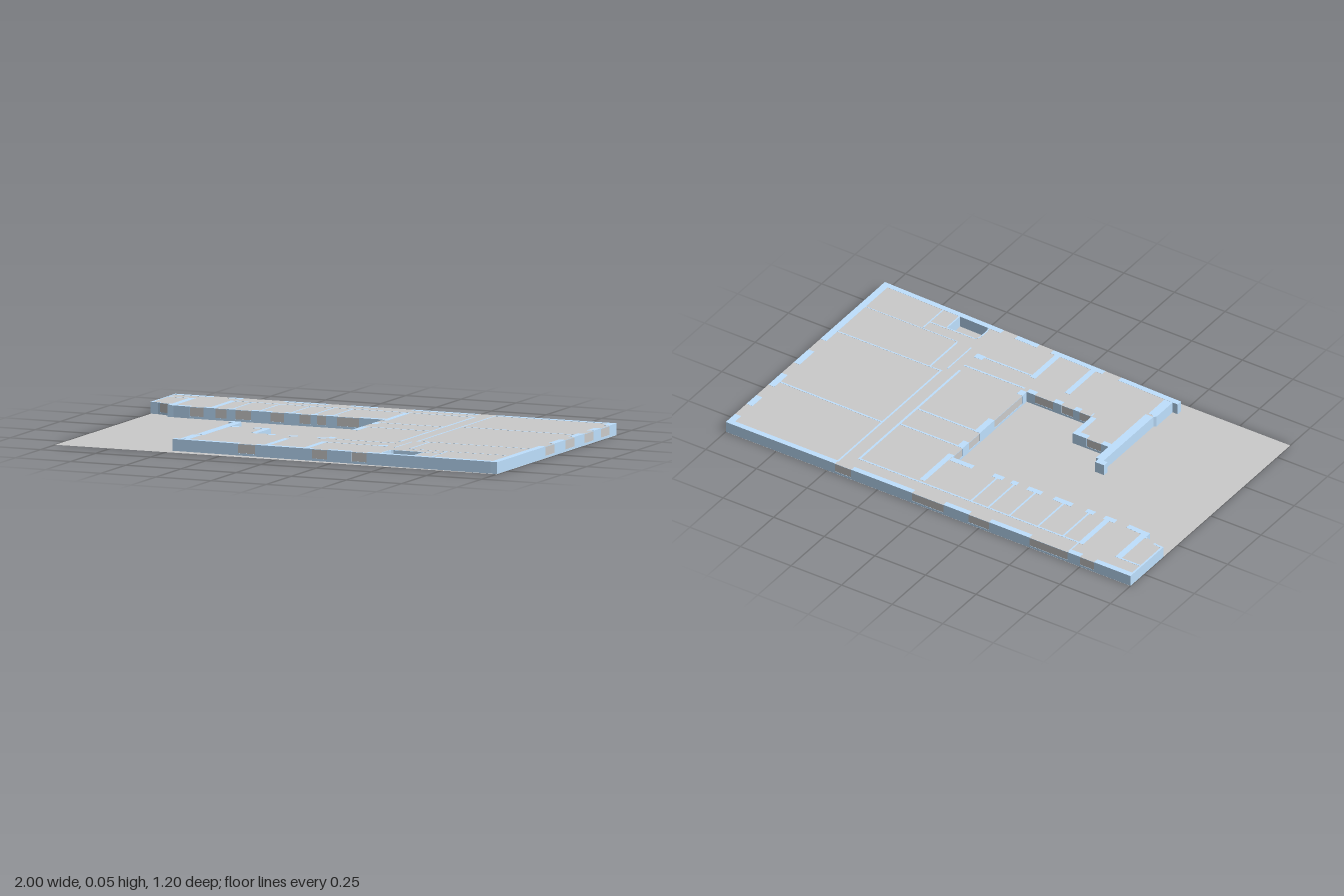
import * as THREE from 'three';

const H = 0.05, SILL = 0.01, HEAD = 0.047, BASE = 0.0005;

export function createModel() {
  const model = new THREE.Group();
  model.name = 'floorPlan';
  const grey = new THREE.MeshStandardMaterial({ color: 0xcccccc, side: THREE.DoubleSide });
  const blue = new THREE.MeshStandardMaterial({ color: 0xbfe1ff });

  // Box standing on the line a-b, shifted sideways by `shift` along the inward normal
  function block(name, parent, a, b, y0, y1, thick, shift, material) {
    const dx = b[0] - a[0], dz = b[1] - a[1], len = Math.hypot(dx, dz);
    const mesh = new THREE.Mesh(new THREE.BoxGeometry(len, y1 - y0, thick), material);
    mesh.position.set((a[0] + b[0]) / 2 - dz / len * shift, (y0 + y1) / 2, (a[1] + b[1]) / 2 + dx / len * shift);
    mesh.rotation.y = -Math.atan2(dz, dx);
    mesh.name = name;
    parent.add(mesh);
  }

  // Wall with windows; each window is a range of x or z, whichever the wall follows,
  // and lies strictly between the wall's ends
  function wall(name, a, b, thick, shift, windows = []) {
    const group = new THREE.Group();
    group.name = name;
    model.add(group);
    const axis = Math.abs(b[0] - a[0]) > Math.abs(b[1] - a[1]) ? 0 : 1;
    const fraction = v => (v - a[axis]) / (b[axis] - a[axis]);
    const at = t => [a[0] + (b[0] - a[0]) * t, a[1] + (b[1] - a[1]) * t];
    const gaps = windows.map(w => w.map(fraction).sort((p, q) => p - q)).sort((p, q) => p[0] - q[0]);
    let t = 0;
    for (const [g0, g1] of gaps) {
      block('wallPier', group, at(t), at(g0), BASE, H, thick, shift, blue);
      block('windowSill', group, at(g0), at(g1), BASE, SILL, thick, shift, blue);
      block('windowPane', group, at(g0), at(g1), SILL, HEAD, thick * 0.9, shift, grey);
      block('windowHead', group, at(g0), at(g1), HEAD, H - 0.0008, thick, shift, blue);
      t = g1;
    }
    block('wallPier', group, at(t), b, BASE, H, thick, shift, blue);
  }

  // Ground sheet
  const ground = new THREE.Mesh(new THREE.PlaneGeometry(2, 1.2).rotateX(-Math.PI / 2), grey);
  ground.name = 'floor';
  model.add(ground);

  // Building outline: corner x, z, then thickness and windows of the wall that starts there
  const outline = [
    [-1, -0.6, 0.025, [[-0.82, -0.75], [-0.69, -0.5], [-0.3, -0.2], [-0.075, 0.08], [0.38, 0.46]]],
    [1, -0.6, 0.03, [[-0.53, -0.445], [-0.37, -0.28], [-0.18, -0.09], [0.02, 0.11]]],
    [1, 0.595, 0.025, [[0.33, 0.4], [0.15, 0.22], [-0.19, -0.11]]],
    [-0.49, 0.555, 0.025],
    [-0.49, 0.53, 0.02],
    [-0.465, 0.53, 0.04],
    [-0.465, 0.41, 0.02],
    [-0.455, 0.4, 0.038],
    [-0.455, 0.027, 0.01],
    [-0.475, 0.027, 0.015],
    [-0.475, 0, 0.025],
    [-0.43, 0, 0.025],
    [-0.43, 0.12, 0.025, [[-0.38, -0.31]]],
    [-0.24, 0.12, 0.025],
    [-0.24, 0.262, 0.025, [[-0.235, -0.18], [-0.15, -0.09], [-0.05, 0.04]]],
    [0.08, 0.262, 0.028, [[0.02, 0.23], [-0.17, -0.09], [-0.28, -0.22]]],
    [0.08, -0.295, 0.025, [[-0.13, -0.03], [-0.22, -0.18], [-0.3, -0.25], [-0.43, -0.37],
      [-0.59, -0.52], [-0.68, -0.63], [-0.795, -0.735]]],
    [-0.8, -0.295, 0.025],
    [-0.9, -0.302, 0.03],
    [-0.9, -0.33, 0.01, [[-0.955, -0.91]]],
    [-0.965, -0.35, 0.01],
    [-1, -0.352, 0.008],
  ];
  outline.forEach((p, i) => {
    wall('outerWall', p, outline[(i + 1) % outline.length], p[2], p[2] / 2, p[3]);
  });

  // Stairwell opening with rounded left corners
  const stair = [[0.472, 0.465], [0.605, 0.465], [0.605, 0.56], [0.472, 0.56],
    [0.463, 0.553], [0.458, 0.538], [0.458, 0.488], [0.463, 0.472]];
  stair.forEach((p, i) => wall('stairwellWall', p, stair[(i + 1) % stair.length], 0.006, -0.003));

  // Ceiling sheet, just below the wall tops
  const toPoint = p => new THREE.Vector2(p[0], -p[1]);
  const shape = new THREE.Shape(outline.map(toPoint));
  shape.holes.push(new THREE.Path(stair.map(toPoint)));
  const ceiling = new THREE.Mesh(new THREE.ShapeGeometry(shape).rotateX(-Math.PI / 2), grey);
  ceiling.position.y = H - 0.0005;
  ceiling.name = 'ceiling';
  model.add(ceiling);

  // Inner partitions: x1, z1, x2, z2, thickness
  const partitions = [
    [-0.99, -0.515, -0.87, -0.515, 0.008], [-0.71, -0.515, 0.4, -0.515, 0.008],
    [-0.885, -0.515, -0.885, -0.3, 0.028], [-0.7, -0.515, -0.7, -0.3, 0.024],
    [-0.69, -0.59, -0.69, -0.515, 0.006], [0.395, -0.515, 0.395, 0.24, 0.01],
    [0.095, -0.5, 0.095, -0.29, 0.025], [0.46, -0.58, 0.46, 0.2, 0.008],
    [0.46, -0.245, 0.98, -0.237, 0.008], [0.1, -0.215, 0.39, -0.215, 0.008],
    [0.1, -0.085, 0.39, -0.085, 0.008], [0.1, 0.28, 0.4, 0.28, 0.008],
    [0.46, 0.195, 0.98, 0.195, 0.006], [0.515, 0.195, 0.515, 0.4, 0.008],
    [0.515, 0.405, 0.98, 0.405, 0.004], [0.11, 0.372, 0.36, 0.372, 0.008],
    [0.36, 0.365, 0.4, 0.365, 0.03], [-0.065, 0.345, -0.065, 0.55, 0.025],
    [0.115, 0.36, 0.115, 0.56, 0.025], [0.69, 0.41, 0.69, 0.575, 0.006],
    [0.61, 0.46, 0.69, 0.46, 0.006], [0.445, 0.22, 0.445, 0.4, 0.006],
  ];
  for (const x of [-0.61, -0.485, -0.345, -0.24, -0.155]) partitions.push([x, -0.515, x, -0.3, 0.008]);
  for (const [x1, z1, x2, z2, t] of partitions) wall('partition', [x1, z1], [x2, z2], t, 0);

  return model;
}
